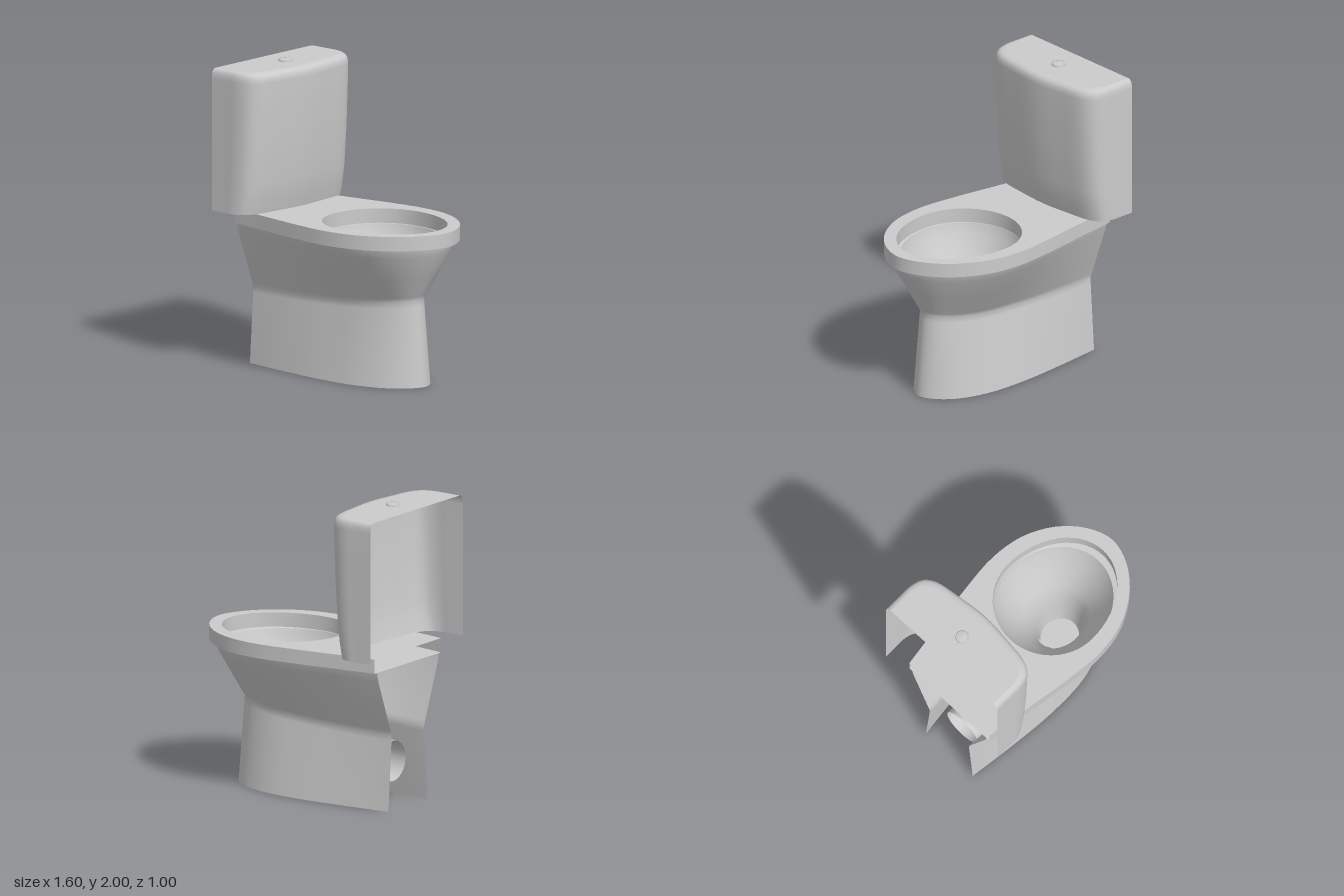
import * as THREE from 'three';

const material = new THREE.MeshStandardMaterial({ color: 0xcccccc, side: THREE.DoubleSide });

// Smooth open outline, symmetric in z, from half its points (back to front)
function outline(half, steps = 56) {
  const pts = half.map(([x, z]) => new THREE.Vector3(x, 0, z));
  const mirrored = half.slice(0, -1).reverse().map(([x, z]) => new THREE.Vector3(x, 0, -z));
  return new THREE.CatmullRomCurve3([...pts, ...mirrored], false, 'centripetal').getPoints(steps);
}

// Closed egg ring with separate back and front lengths
function egg(y, cx, back, front, rz, steps = 56) {
  return Array.from({ length: steps + 1 }, (_, i) => {
    const a = (i / steps) * Math.PI * 2, c = Math.cos(a);
    return new THREE.Vector3(cx + c * (c < 0 ? back : front), y, rz * Math.sin(a));
  });
}

const place = (pts, y, kx = 1, kz = 1, x0 = 0) =>
  pts.map(p => new THREE.Vector3(x0 + (p.x - x0) * kx, typeof y === 'function' ? y(p.x) : y, p.z * kz));

// Skin stretched over consecutive rows of points, the first row being the lowest
function loft(rows) {
  const n = rows[0].length, index = [];
  for (let r = 0; r < rows.length - 1; r++) {
    for (let i = 0; i < n - 1; i++) {
      const a = r * n + i, b = a + 1, c = a + n, d = c + 1;
      index.push(a, b, d, a, d, c);
    }
  }
  const g = new THREE.BufferGeometry().setFromPoints(rows.flat());
  g.setIndex(index);
  g.computeVertexNormals();
  // Join normals where a closed ring meets itself
  const nor = g.attributes.normal;
  if (rows[0][0].distanceTo(rows[0][n - 1]) < 1e-6) {
    for (let r = 0; r < rows.length; r++) {
      const a = r * n, b = a + n - 1;
      const v = new THREE.Vector3().fromBufferAttribute(nor, a)
        .add(new THREE.Vector3().fromBufferAttribute(nor, b)).normalize();
      nor.setXYZ(a, v.x, v.y, v.z);
      nor.setXYZ(b, v.x, v.y, v.z);
    }
  }
  return g;
}

export function createModel() {
  const model = new THREE.Group();
  const add = (name, geometry, parent = model) => {
    const mesh = new THREE.Mesh(geometry, material);
    mesh.name = name;
    parent.add(mesh);
    return mesh;
  };
  const group = name => {
    const g = new THREE.Group();
    g.name = name;
    model.add(g);
    return g;
  };

  // Pedestal: flared foot, narrow waist, wide top, open at the back and below
  const foot = outline([[-0.73, 0.21], [-0.4, 0.25], [-0.05, 0.277], [0.25, 0.262], [0.46, 0.19], [0.57, 0.09], [0.605, 0]]);
  const waist = outline([[-0.73, 0.175], [-0.4, 0.192], [-0.05, 0.2], [0.25, 0.192], [0.44, 0.14], [0.535, 0.07], [0.56, 0]]);
  const top = outline([[-0.73, 0.335], [-0.4, 0.385], [-0.1, 0.43], [0.17, 0.452], [0.4, 0.415], [0.58, 0.305], [0.7, 0.16], [0.745, 0]]);
  const low = place(foot, 0);
  const mid = place(waist, x => 0.5 + 0.07 * ((x + 0.73) / 1.29) ** 2);
  const shoulder = place(top, 0.89, 0.993, 0.955, -0.73);
  const between = (a, b, t) => a.map((p, i) => p.clone().lerp(b[i], t));
  add('pedestal', loft([low, between(low, mid, 0.5), between(low, mid, 0.93), mid,
    between(mid, shoulder, 0.08), between(mid, shoulder, 0.5), shoulder, place(top, 0.95)]));

  // Seat slab with an egg-shaped opening, open at the back
  const seat = group('seat');
  const rim = outline([[-0.73, 0.36], [-0.43, 0.405], [-0.1, 0.456], [0.17, 0.478], [0.4, 0.442], [0.6, 0.335], [0.74, 0.175], [0.795, 0]]);
  const hole = egg(0, 0.21, 0.37, 0.49, 0.375);
  const flat = pts => pts.map(p => new THREE.Vector2(p.x, -p.z));
  const slab = new THREE.Shape(flat(rim));
  slab.holes.push(new THREE.Path(flat(hole)));
  const face = new THREE.ShapeGeometry(slab).rotateX(-Math.PI / 2);
  add('seatTop', face.clone().translate(0, 1.045, 0), seat);
  add('seatUnderside', face.clone().rotateX(Math.PI).translate(0, 0.95, 0), seat);
  add('seatEdge', loft([place(rim, 0.95), place(rim, 1.045)]), seat);
  add('seatOpening', loft([place(hole, 0.95), place(hole, 1.045)]), seat);

  // Bowl narrowing to a small flat floor
  const bowl = group('bowl');
  const floor = [0.2, 0.3, 0.13, 0.13, 0.12];
  add('bowlLip', loft([egg(0.945, 0.21, 0.368, 0.445, 0.372), egg(0.95, 0.21, 0.37, 0.49, 0.375)]), bowl);
  add('bowlWall', loft([
    floor,
    [0.36, 0.3, 0.15, 0.15, 0.14],
    [0.52, 0.28, 0.2, 0.19, 0.165],
    [0.62, 0.26, 0.235, 0.24, 0.215],
    [0.76, 0.23, 0.3, 0.34, 0.295],
    [0.88, 0.21, 0.35, 0.42, 0.355],
    [0.945, 0.21, 0.368, 0.445, 0.372],
  ].map(s => egg(...s))), bowl);
  add('bowlFloor', loft([egg(...floor), egg(0.2, 0.3, 0, 0, 0)]), bowl);

  // Waste pipe running back from the bowl
  const pipe = add('wastePipe', new THREE.CylinderGeometry(0.135, 0.135, 0.75, 24, 1, true));
  pipe.rotation.z = Math.PI / 2;
  pipe.position.set(-0.235, 0.28, 0);

  // Cistern shell, leaning out towards the top, open at the back and below
  const cistern = group('cistern');
  const plan = outline([[-0.8, 0.5], [-0.68, 0.5], [-0.57, 0.498], [-0.49, 0.47], [-0.44, 0.4], [-0.41, 0.22], [-0.39, 0]]);
  const level = (y, kx, kz = 1) => place(plan, y, kx, kz, -0.8);
  add('cisternWall', loft([level(1.045, 0.8), level(1.14, 0.855), level(1.25, 0.9), level(1.5, 0.955),
    level(1.75, 0.985), level(1.92, 1), level(1.95, 0.99, 0.993), level(1.97, 0.965, 0.98),
    level(1.982, 0.92, 0.955), level(1.985, 0.85, 0.92)]), cistern);
  add('cisternTop', loft([level(1.985, 0.85, 0.92), level(1.985, 0.85, 0)]), cistern);

  // Flush button: octagonal collar with a raised centre
  const profile = [[0.046, 0], [0.046, 0.013], [0.035, 0.013], [0.033, 0.009], [0.031, 0.015], [0, 0.015]];
  const button = add('flushButton', new THREE.LatheGeometry(profile.map(p => new THREE.Vector2(...p)), 8), cistern);
  button.position.set(-0.61, 1.985, 0);

  return model;
}
